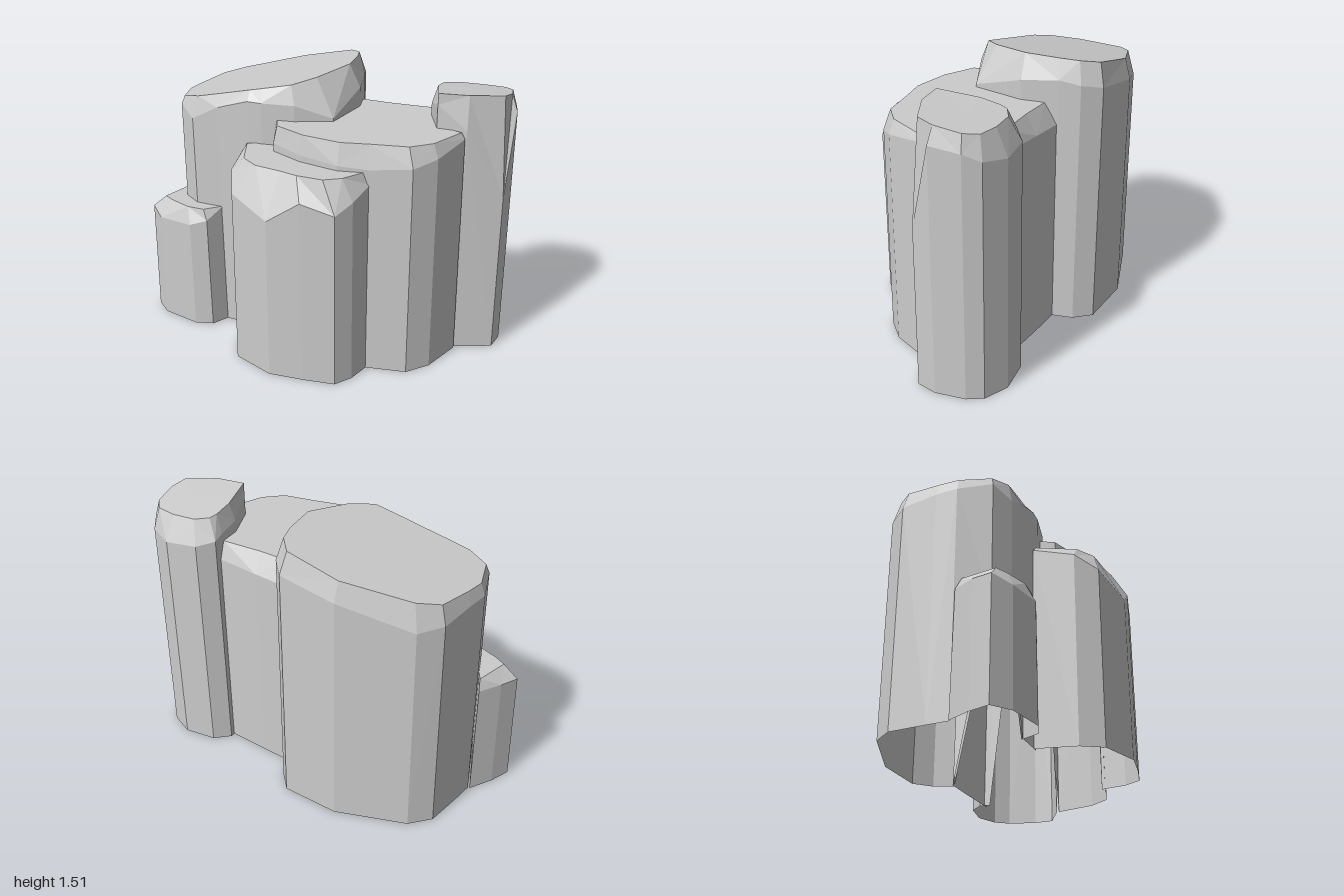
import * as THREE from 'three';

const material = new THREE.MeshStandardMaterial({ color: 0xcccccc, flatShading: true, side: THREE.DoubleSide });

// One rock pillar. Each outline point is [x, z, shoulderY, inset, baseY], counter-clockwise from above.
// Points buried in a neighbouring pillar start at a raised baseY, so the cluster stays hollow.
function pillar(name, outline, topY, taper) {
  const n = outline.length;
  const cx = outline.reduce((s, p) => s + p[0], 0) / n;
  const cz = outline.reduce((s, p) => s + p[1], 0) / n;
  const base = [], shoulder = [], rim = [];
  for (const [x, z, y, inset, baseY = 0] of outline) {
    const dx = x - cx, dz = z - cz, k = 1 - inset / Math.hypot(dx, dz);
    const rx = cx + dx * k, rz = cz + dz * k;
    const t = baseY > 0 ? 1 : taper;
    base.push([x, baseY, z]);
    shoulder.push([cx + dx * t, y, cz + dz * t]);
    rim.push([rx, topY(rx, rz), rz]);
  }
  const centre = [cx, topY(cx, cz), cz];
  const verts = [];
  for (let i = 0; i < n; i++) {
    const j = (i + 1) % n;
    for (const [lo, hi] of [[base, shoulder], [shoulder, rim]]) {
      // Alternate the diagonal for irregular facets
      if (i % 2) verts.push(lo[i], lo[j], hi[j], lo[i], hi[j], hi[i]);
      else verts.push(lo[i], lo[j], hi[i], lo[j], hi[j], hi[i]);
    }
    verts.push(rim[i], rim[j], centre);
  }
  const geometry = new THREE.BufferGeometry();
  geometry.setAttribute('position', new THREE.Float32BufferAttribute(verts.flat(), 3));
  geometry.computeVertexNormals();
  const mesh = new THREE.Mesh(geometry, material);
  mesh.name = name;
  return mesh;
}

export function createModel() {
  const group = new THREE.Group();
  group.name = 'rockCluster';

  // Largest pillar with a slanting top
  group.add(pillar('tallPillar', [
    [-0.80, -0.40, 1.22, 0.04], [-0.84, -0.20, 1.24, 0.03], [-0.86, -0.08, 1.24, 0.03],
    [-0.80, 0.09, 1.27, 0.02, 0.6], [-0.70, 0.16, 1.22, 0.04, 0.6], [-0.55, 0.17, 1.30, 0.04],
    [-0.36, 0.185, 1.36, 0.05], [-0.28, 0.185, 1.36, 0.05, 1.05], [-0.10, 0.165, 1.36, 0.04, 1.05],
    [0.09, 0.09, 1.29, 0.13, 1.1], [0.14, -0.20, 1.38, 0.06, 1.1], [0.11, -0.40, 1.40, 0.05],
    [0.08, -0.51, 1.38, 0.05], [0.00, -0.60, 1.36, 0.05], [-0.32, -0.62, 1.31, 0.04],
    [-0.70, -0.50, 1.20, 0.05],
  ], (x) => 1.49 + 0.22 * x, 0.985));

  // Middle pillar filling the space between the others
  group.add(pillar('middlePillar', [
    [-0.20, 0.16, 1.18, 0, 1.05], [-0.18, 0.26, 1.18, 0.02, 1.05], [0.00, 0.35, 1.17, 0.02, 1.05],
    [0.22, 0.40, 1.16, 0.03, 1.05], [0.38, 0.38, 1.15, 0.04], [0.60, 0.345, 1.17, 0.05],
    [0.70, 0.24, 1.20, 0.04], [0.785, 0.02, 1.24, 0.03], [0.64, -0.02, 1.24, 0, 1.2],
    [0.56, -0.20, 1.24, 0, 1.2], [0.56, -0.36, 1.18, 0.05], [0.30, -0.385, 1.17, 0.07],
    [0.09, -0.40, 1.16, 0.08], [0.10, -0.20, 1.24, 0, 1.15], [0.06, 0.08, 1.24, 0, 1.15],
    [-0.10, 0.14, 1.24, 0, 1.1],
  ], () => 1.275, 0.98));

  // Broad pillar at the front
  group.add(pillar('frontPillar', [
    [-0.385, 0.18, 1.11, 0.03], [-0.365, 0.40, 1.06, 0.08], [-0.31, 0.52, 0.98, 0.13],
    [-0.08, 0.615, 0.90, 0.12], [0.10, 0.605, 1.02, 0.09], [0.28, 0.585, 0.97, 0.10],
    [0.345, 0.50, 1.02, 0.07], [0.39, 0.36, 1.07, 0.03], [0.22, 0.38, 1.12, 0, 1.05],
    [0.00, 0.33, 1.12, 0, 1.05], [-0.17, 0.25, 1.12, 0, 1.05], [-0.20, 0.16, 1.12, 0, 1.05],
  ], () => 1.135, 0.985));

  // Slim pillar on the model's left, with a long sloping facet in front
  group.add(pillar('slimPillar', [
    [0.54, -0.20, 1.34, 0.03, 1.2], [0.62, 0.00, 1.40, 0, 1.2], [0.78, 0.01, 1.28, 0.03],
    [0.98, -0.07, 0.90, 0.05], [1.00, -0.18, 1.35, 0.04], [0.97, -0.34, 1.33, 0.03],
    [0.92, -0.42, 1.29, 0.04], [0.79, -0.48, 1.27, 0.07], [0.61, -0.46, 1.28, 0.07],
    [0.53, -0.39, 1.30, 0.06], [0.53, -0.33, 1.32, 0.04],
  ], (x, z) => Math.min(1.46, 1.46 + 0.15 * (z + 0.05)), 0.985));

  // Short pillar on the model's right
  group.add(pillar('shortPillar', [
    [-0.87, -0.08, 0.66, 0.04], [-0.95, 0.04, 0.66, 0.07], [-1.00, 0.15, 0.65, 0.09],
    [-0.91, 0.23, 0.62, 0.08], [-0.69, 0.285, 0.63, 0.06], [-0.59, 0.26, 0.66, 0.04],
    [-0.53, 0.16, 0.70, 0.01], [-0.70, 0.13, 0.71, 0, 0.62], [-0.80, 0.06, 0.71, 0, 0.62],
  ], () => 0.72, 0.96));

  return group;
}
